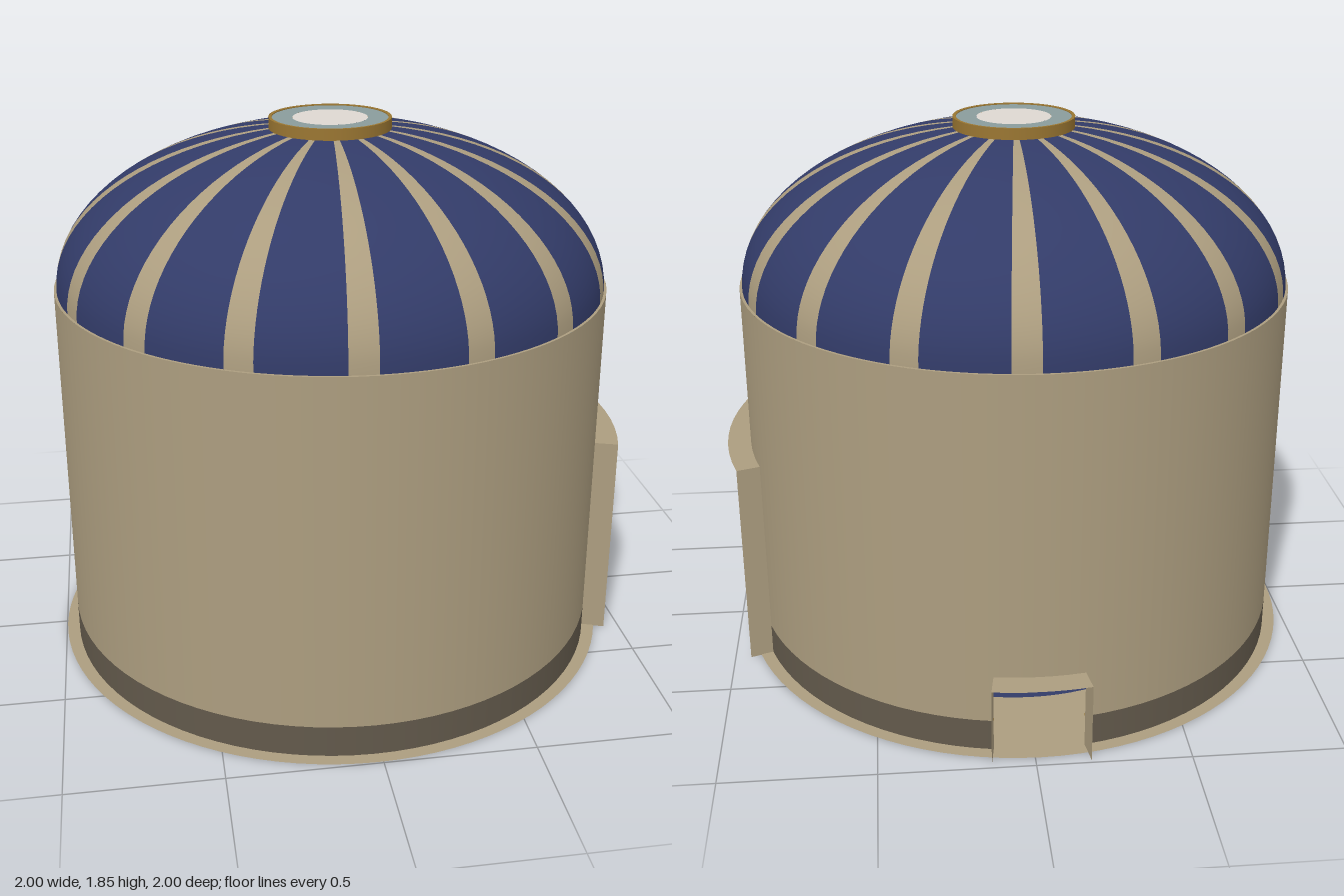
import * as THREE from 'three';

const RAD = Math.PI / 180;
const WALL_R = 0.937, WALL_TOP = 1.3;

function makeMaterial(name, color, side = THREE.DoubleSide) {
  const m = new THREE.MeshStandardMaterial({ color, side });
  m.name = name;
  return m;
}

export function createModel() {
  const stone = makeMaterial('sandstone', 0xac9d7f);
  const darkStone = makeMaterial('dark stone', 0x62594b);
  const blue = makeMaterial('roof blue', 0x323b68);
  const gold = makeMaterial('gold', 0x9a7632);
  const glass = makeMaterial('pale teal', 0x8a9c9c);
  const white = makeMaterial('warm white', 0xddd7d1);
  const red = makeMaterial('red', 0x8a3328);

  const root = new THREE.Group();
  root.name = 'domedHall';
  const hall = new THREE.Group();
  hall.name = 'hall';
  hall.position.set(-0.018, 0, 0.017);
  root.add(hall);

  function add(name, geometry, material, parent = hall, y = 0) {
    const mesh = new THREE.Mesh(geometry, material);
    mesh.name = name;
    mesh.position.y = y;
    parent.add(mesh);
    return mesh;
  }

  // Curved sheet between two heights and two angles (0 = +z, 90 = +x)
  function curvedWall(name, r, y0, y1, a0, a1, material) {
    const segments = Math.max(4, Math.round((a1 - a0) / 4));
    const g = new THREE.CylinderGeometry(r, r, y1 - y0, segments, 1, true, a0 * RAD, (a1 - a0) * RAD);
    add(name, g, material, hall, (y0 + y1) / 2);
  }

  // Flat ring or ring sector lying at a height
  function flatRing(name, r0, r1, y, material, a0 = 0, a1 = 360) {
    const segments = Math.max(8, Math.round((a1 - a0) / 4));
    const g = new THREE.RingGeometry(r0, r1, segments, 1, (a0 - 90) * RAD, (a1 - a0) * RAD);
    g.rotateX(-Math.PI / 2);
    add(name, g, material, hall, y);
  }

  // Floor with inlaid rings
  const floor = new THREE.CircleGeometry(0.98, 96).rotateX(-Math.PI / 2);
  add('floor', floor, stone, hall, 0.002);
  flatRing('blueFloorRing', 0.635, 0.66, 0.006, blue);
  flatRing('redFloorRing', 0.25, 0.275, 0.006, red);

  // Openings: a tall doorway on +x and a low hatch on -z
  const openings = [
    { name: 'doorway', mid: 90, half: 18.7, top: 0.735 },
    { name: 'hatch', mid: 180, half: 9, top: 0.275 },
  ];
  const outer = 1.017;
  openings.forEach(({ name, mid, half, top }, i) => {
    const start = mid - half, end = mid + half;
    const next = openings[(i + 1) % openings.length];
    let nextStart = next.mid - next.half;
    if (nextStart < end) nextStart += 360;

    // Wall above the opening, then the full-height wall up to the next one
    curvedWall(name + 'UpperWall', WALL_R, top, WALL_TOP, start, end, stone);
    curvedWall('wall', WALL_R, 0.11, WALL_TOP, end, nextStart, stone);
    curvedWall('plinth', WALL_R, 0.002, 0.11, end, nextStart, darkStone);
    curvedWall('plinthTrim', WALL_R - 0.006, 0.108, 0.118, end, nextStart, gold);

    // Projecting surround: two radial jambs and a thin roof
    flatRing(name + 'Roof', WALL_R, outer, top, stone, start, end);
    for (const a of [start, end]) {
      const jamb = new THREE.PlaneGeometry(outer - WALL_R, top);
      jamb.translate((outer + WALL_R) / 2, top / 2, 0);
      jamb.rotateY((a - 90) * RAD);
      add(name + 'Jamb', jamb, stone);
    }
  });

  // Inner frieze and the ledge closing the wall top
  curvedWall('frieze', WALL_R - 0.008, 0.95, 1.27, 0, 360, glass);
  for (const y of [0.95, 1.11, 1.27]) curvedWall('friezeTrim', WALL_R - 0.012, y - 0.008, y + 0.008, 0, 360, gold);
  flatRing('wallLedge', 0.92, WALL_R, WALL_TOP, stone);

  // Dome: elliptical profile, sixteen ribs and sixteen blue panels
  const profile = [];
  const topAngle = Math.acos(0.195 / 0.928);
  for (let i = 0; i <= 20; i++) {
    const t = (i / 20) * topAngle;
    profile.push(new THREE.Vector2(0.928 * Math.cos(t), WALL_TOP + 0.525 * Math.sin(t)));
  }
  const step = 22.5, ribWidth = step / 4;
  for (let k = 0; k < 16; k++) {
    const a = k * step;
    add('domeRib', new THREE.LatheGeometry(profile, 2, (a - ribWidth) * RAD, ribWidth * RAD), stone);
    add('domePanel', new THREE.LatheGeometry(profile, 6, a * RAD, (step - ribWidth) * RAD), blue);
  }

  // Oculus: gold collar with a glazed cap
  add('oculusCollar', new THREE.CylinderGeometry(0.204, 0.204, 0.045, 64, 1, true), gold, hall, 1.827);
  flatRing('oculusRim', 0.193, 0.204, 1.849, gold);
  flatRing('oculusGlass', 0.125, 0.193, 1.846, glass);
  add('oculusCentre', new THREE.CircleGeometry(0.125, 48).rotateX(-Math.PI / 2), white, hall, 1.846);

  // Eight inner columns
  for (let k = 0; k < 8; k++) {
    const turn = new THREE.Group();
    turn.name = 'columnTurn';
    turn.rotation.y = (22.5 + 45 * k) * RAD;
    const column = new THREE.Group();
    column.name = 'column';
    column.position.z = 0.845;
    turn.add(column);
    hall.add(turn);
    add('columnBase', new THREE.BoxGeometry(0.095, 0.025, 0.095), gold, column, 0.0125);
    add('columnFoot', new THREE.CylinderGeometry(0.034, 0.042, 0.02, 20), stone, column, 0.035);
    add('columnShaft', new THREE.CylinderGeometry(0.027, 0.031, 0.65, 16), stone, column, 0.365);
    add('columnBand', new THREE.CylinderGeometry(0.034, 0.034, 0.02, 20), red, column, 0.2);
    add('columnCapital', new THREE.CylinderGeometry(0.044, 0.029, 0.03, 20), gold, column, 0.695);
    add('columnAbacus', new THREE.BoxGeometry(0.095, 0.02, 0.095), gold, column, 0.72);
  }

  return root;
}
